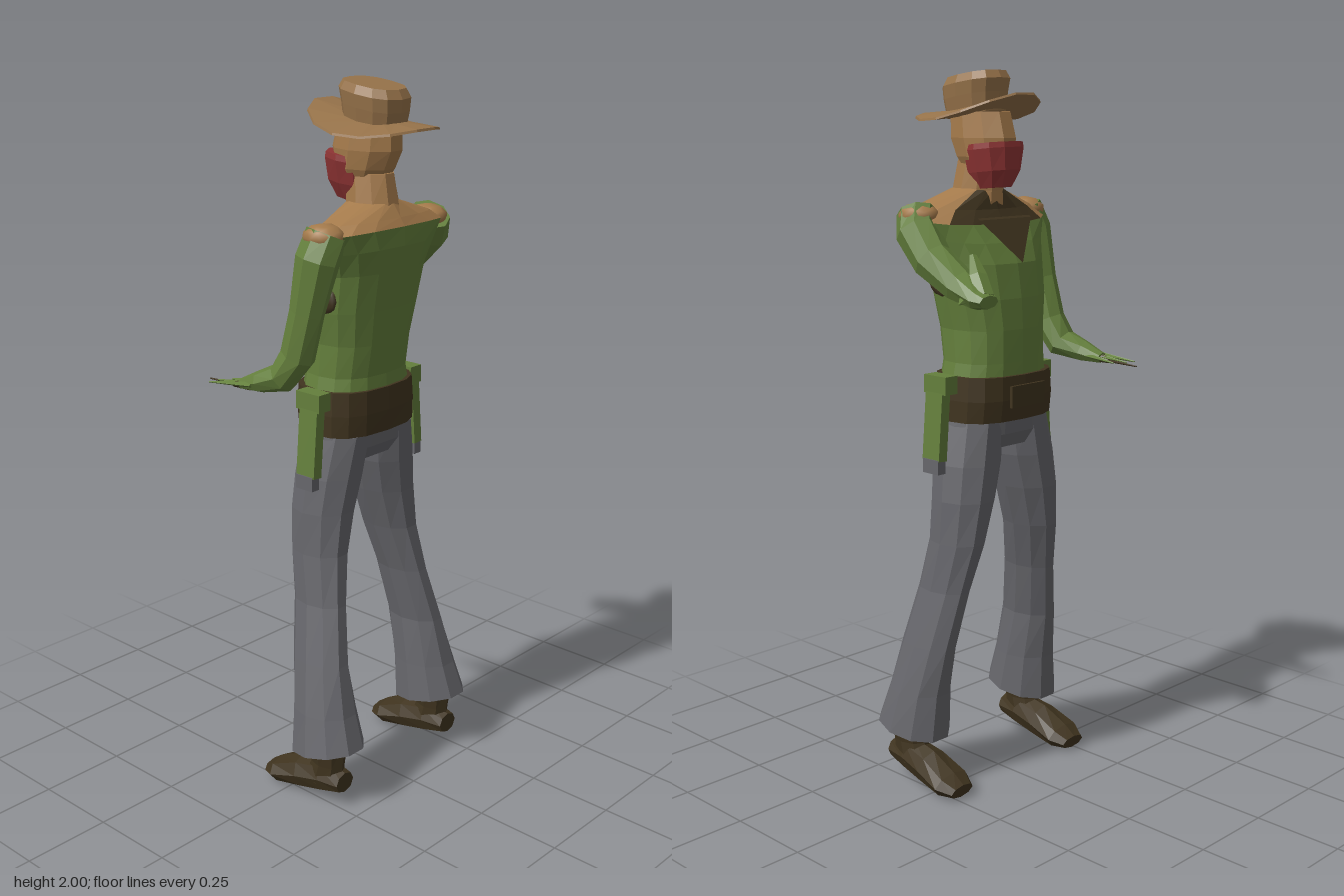
import * as THREE from 'three';

const mat = (name, color) => {
  const m = new THREE.MeshStandardMaterial({ color });
  m.name = name;
  return m;
};

export function createModel() {
  const model = new THREE.Group();
  model.name = 'cowboyFigure';
  const hatTan = mat('hatTan', 0x97734a);
  const skin = mat('skin', 0xa47a4b);
  const green = mat('shirtGreen', 0x647f3c);
  const dark = mat('darkLeather', 0x40341f);
  const grey = mat('trouserGrey', 0x67676c);
  const red = mat('bandanaRed', 0x8f3434);
  const V = (x, y, z) => new THREE.Vector3(x, y, z);

  const add = (name, geometry, material) => {
    const mesh = new THREE.Mesh(geometry, material);
    mesh.name = name;
    model.add(mesh);
    return mesh;
  };

  // Faceted skin through rings of points; pick(ring, side) chooses a material index
  function loft(name, rings, mats, pick = () => 0, caps = true) {
    const list = Array.isArray(mats) ? mats : [mats];
    const faces = list.map(() => []);
    const n = rings[0].length;
    const tri = (k, ...p) => p.forEach(v => faces[k].push(v.x, v.y, v.z));
    for (let r = 0; r < rings.length - 1; r++) {
      for (let i = 0; i < n; i++) {
        const j = (i + 1) % n, a = rings[r], b = rings[r + 1], k = pick(r, i);
        tri(k, a[i], b[i], a[j]);
        tri(k, a[j], b[i], b[j]);
      }
    }
    if (caps) {
      [rings[0], rings[rings.length - 1]].forEach((ring, end) => {
        const c = ring.reduce((s, p) => s.add(p), V(0, 0, 0)).divideScalar(n);
        ring.forEach((p, i) => {
          const q = ring[(i + 1) % n];
          end ? tri(pick(rings.length - 2, i), c, q, p) : tri(pick(0, i), c, p, q);
        });
      });
    }
    const g = new THREE.BufferGeometry();
    g.setAttribute('position', new THREE.Float32BufferAttribute(faces.flat(), 3));
    let start = 0;
    faces.forEach((f, k) => { g.addGroup(start, f.length / 3, k); start += f.length / 3; });
    g.computeVertexNormals();
    return add(name, g, list.length > 1 ? list : list[0]);
  }

  // Level ring between x0..x1 and z0..z1; slope lifts it along z, droop lowers its sides
  function ring(n, y, x0, x1, z0, z1, slope = 0, droop = 0, power = 1) {
    return Array.from({ length: n }, (_, i) => {
      const a = (i / n) * Math.PI * 2;
      const round = v => Math.sign(v) * Math.pow(Math.abs(v), power);
      const c = round(Math.cos(a)), s = round(Math.sin(a));
      const dz = s * (z1 - z0) / 2;
      return V((x0 + x1) / 2 + c * (x1 - x0) / 2, y + slope * dz - droop * c * c, (z0 + z1) / 2 + dz);
    });
  }

  // Limb along points [x, y, z, sideRadius, otherRadius]
  function limb(name, pts, material, n = 8) {
    const P = pts.map(p => V(p[0], p[1], p[2]));
    const rings = pts.map((p, k) => {
      const d = P[Math.min(k + 1, P.length - 1)].clone().sub(P[Math.max(k - 1, 0)]).normalize();
      const s = V(1, 0, 0).addScaledVector(d, -d.x).normalize();
      const t = s.clone().cross(d);
      return Array.from({ length: n }, (_, i) => {
        const a = (i / n) * Math.PI * 2;
        return P[k].clone().addScaledVector(s, Math.cos(a) * p[3])
          .addScaledVector(t, Math.sin(a) * (p[4] ?? p[3]));
      });
    });
    return loft(name, rings, material);
  }

  // Thin ragged point from one place to another
  const spike = (name, from, to, r, material) =>
    limb(name, [[...from, r, r * 0.5], [...to, 0.002, 0.002]], material, 4);

  // Hat: flared crown and a brim with drooping sides, tipped up at the face
  loft('hatCrown', [[1.88, 0.068, 0.0, 0.165], [1.93, 0.076, -0.005, 0.175], [1.965, 0.08, -0.012, 0.178], [1.987, 0.07, 0.0, 0.165]]
    .map(([y, w, z0, z1]) => ring(12, y, -w, w, z0, z1, -0.15, 0, 0.8)), hatTan);
  loft('hatBrim', [
    ring(14, 1.885, -0.07, 0.07, 0, 0.17, -0.15, 0.01),
    ring(14, 1.908, -0.158, 0.158, -0.105, 0.262, -0.15, 0.04),
    ring(14, 1.914, -0.156, 0.156, -0.103, 0.26, -0.15, 0.04),
    ring(14, 1.905, -0.07, 0.07, 0, 0.17, -0.15, 0.01),
  ], hatTan, () => 0, false);

  // Head, neck and bandana over the lower face
  loft('head', [[1.72, 0.05, -0.03, 0.1], [1.77, 0.07, -0.045, 0.14], [1.82, 0.075, -0.05, 0.165], [1.89, 0.07, -0.03, 0.165]]
    .map(([y, w, z0, z1]) => ring(10, y, -w, w, z0, z1)), skin);
  loft('neck', [[1.6, 0.085, 0.0, 0.18], [1.68, 0.066, 0.0, 0.155], [1.76, 0.056, -0.01, 0.14]]
    .map(([y, w, z0, z1]) => ring(10, y, -w, w, z0, z1)), skin);
  loft('bandana', [[1.685, 0.045, -0.035, 0.08], [1.73, 0.066, -0.055, 0.085], [1.79, 0.079, -0.058, 0.09], [1.805, 0.077, -0.055, 0.088]]
    .map(([y, w, z0, z1]) => ring(10, y, -w, w, z0, z1, -0.1, 0, 0.8)), red);

  // Shirt, then shoulder yoke with a dark open neckline at the front
  loft('shirt', [[1.15, 0.162, -0.095, 0.135], [1.22, 0.148, -0.095, 0.13], [1.31, 0.147, -0.095, 0.145],
    [1.4, 0.163, -0.09, 0.16], [1.5, 0.172, -0.075, 0.18], [1.56, 0.198, -0.05, 0.192], [1.61, 0.235, -0.02, 0.19]]
    .map(([y, w, z0, z1], k) => ring(16, y, -w, w, z0, z1, [0, 0, 0, 0.05, 0.1, 0.15, 0.18][k], 0, 0.8)), green);
  loft('shoulderYoke', [
    ring(16, 1.61, -0.235, 0.235, -0.02, 0.19, 0.18, 0, 0.8),
    ring(16, 1.64, -0.19, 0.19, 0.0, 0.175, 0.12, 0, 0.9),
    ring(16, 1.685, -0.066, 0.066, 0.01, 0.15),
  ], [skin, dark], (r, i) => (i >= 10 && i <= 13 ? 1 : 0));
  loft('openNeckline', [
    [V(-0.1, 1.605, -0.029), V(0, 1.49, -0.094), V(0.1, 1.605, -0.029)],
    [V(-0.1, 1.61, -0.022), V(0, 1.495, -0.087), V(0.1, 1.61, -0.022)],
  ], dark).material.side = THREE.DoubleSide;

  // Belt, buckle and the seat of the trousers
  loft('belt', [[1.06, 0.172, -0.1, 0.14], [1.12, 0.172, -0.108, 0.143], [1.185, 0.167, -0.105, 0.14]]
    .map(([y, w, z0, z1]) => ring(16, y, -w, w, z0, z1, 0, 0, 0.75)), dark);
  const buckle = add('buckle', new THREE.BoxGeometry(0.13, 0.06, 0.009), dark);
  buckle.position.set(0, 1.13, -0.113);
  loft('trouserSeat', [[0.98, 0.15, -0.06, 0.1], [1.02, 0.178, -0.08, 0.125], [1.09, 0.168, -0.085, 0.135]]
    .map(([y, w, z0, z1]) => ring(14, y, -w, w, z0, z1, 0, 0, 0.8)), grey);

  for (const s of [-1, 1]) {
    const side = s > 0 ? 'left' : 'right';

    // Flared trouser leg: [y, inner x, outer x, front z, back z]
    const leg = [[0.165, 0.13, 0.32, 0.005, 0.232], [0.28, 0.138, 0.297, 0.0, 0.2], [0.42, 0.145, 0.265, -0.02, 0.165],
      [0.58, 0.12, 0.228, -0.045, 0.13], [0.72, 0.08, 0.215, -0.075, 0.108], [0.84, 0.042, 0.21, -0.085, 0.108],
      [0.94, 0.015, 0.198, -0.085, 0.118], [1.06, 0.002, 0.172, -0.08, 0.13]];
    loft(side + 'TrouserLeg', leg.map(([y, a, b, z0, z1], k) => ring(10, y, s > 0 ? a : -b, s > 0 ? b : -a,
      z0, z1, k ? 0 : 0.18)), grey);

    // Boot: ankle and foot
    loft(side + 'BootAnkle', [[0.06, 0.042, 0.04, 0.175], [0.12, 0.04, 0.07, 0.18], [0.2, 0.05, 0.07, 0.19]]
      .map(([y, w, z0, z1]) => ring(8, y, s * 0.232 - w, s * 0.232 + w, z0, z1)), dark);
    limb(side + 'BootFoot', [[s * 0.23, 0.075, 0.188, 0.035, 0.03], [s * 0.231, 0.075, 0.12, 0.045, 0.05],
      [s * 0.233, 0.06, 0.04, 0.054, 0.05], [s * 0.235, 0.036, -0.045, 0.064, 0.036], [s * 0.234, 0.025, -0.087, 0.042, 0.02]], dark);

    // Hip pouch and tapering holster hanging from the belt
    const pouch = add(side + 'HipPouch', new THREE.BoxGeometry(0.045, 0.05, 0.085), green);
    pouch.position.set(s * 0.188, 1.165, 0.035);
    const holster = add(side + 'Holster', new THREE.BoxGeometry(0.03, 0.19, 0.065), green);
    holster.position.set(s * 0.203, 1.05, 0.038);
    holster.rotation.z = s * 0.08;
    const tip = add(side + 'HolsterTip', new THREE.BoxGeometry(0.028, 0.04, 0.06), grey);
    tip.position.set(s * 0.214, 0.94, 0.036);

    // Shoulder cap and dark armhole
    const cap = add(side + 'ShoulderCap', new THREE.IcosahedronGeometry(1, 1), skin);
    cap.scale.set(0.055, 0.035, 0.06);
    cap.position.set(s * 0.205, 1.618, 0.095);
    const hole = add(side + 'Armhole', new THREE.IcosahedronGeometry(1, 1), dark);
    hole.scale.set(0.012, 0.04, 0.05);
    hole.position.set(s * 0.165, 1.44, 0.05);
  }

  // Right arm hangs down, with the forearm reaching forward
  limb('rightArm', [[-0.2, 1.625, 0.1, 0.05, 0.06], [-0.225, 1.56, 0.09, 0.055, 0.062], [-0.24, 1.42, 0.065, 0.043, 0.05],
    [-0.245, 1.3, 0.035, 0.045, 0.05], [-0.255, 1.235, -0.01, 0.05, 0.042], [-0.275, 1.215, -0.075, 0.038, 0.03],
    [-0.285, 1.2, -0.135, 0.022, 0.015]], green);
  limb('rightHand', [[-0.285, 1.205, -0.1, 0.02, 0.018], [-0.29, 1.195, -0.16, 0.012, 0.008]], dark, 6);
  [[-0.325, -0.225], [-0.296, -0.22], [-0.262, -0.2]].forEach(([x, z], i) =>
    spike('rightCuffPoint' + i, [-0.28 + (i - 1) * 0.02, 1.21, -0.08], [x, 1.195, z], 0.018, green));
  spike('rightFinger', [-0.29, 1.195, -0.15], [-0.288, 1.19, -0.262], 0.01, dark);

  // Left arm is raised forward to the elbow, with a short folded forearm
  limb('leftArm', [[0.2, 1.625, 0.11, 0.05, 0.06], [0.222, 1.575, 0.085, 0.056, 0.062], [0.232, 1.505, 0.015, 0.054, 0.056],
    [0.224, 1.445, -0.08, 0.05, 0.046], [0.22, 1.415, -0.15, 0.044, 0.03], [0.22, 1.41, -0.182, 0.034, 0.018]], green);
  limb('leftForearm', [[0.215, 1.42, -0.165, 0.03, 0.02], [0.2, 1.47, -0.125, 0.03, 0.02], [0.18, 1.52, -0.085, 0.012, 0.008]], green, 6);
  spike('leftCuffPoint', [0.24, 1.42, -0.12], [0.282, 1.405, -0.135], 0.02, green);

  return model;
}
